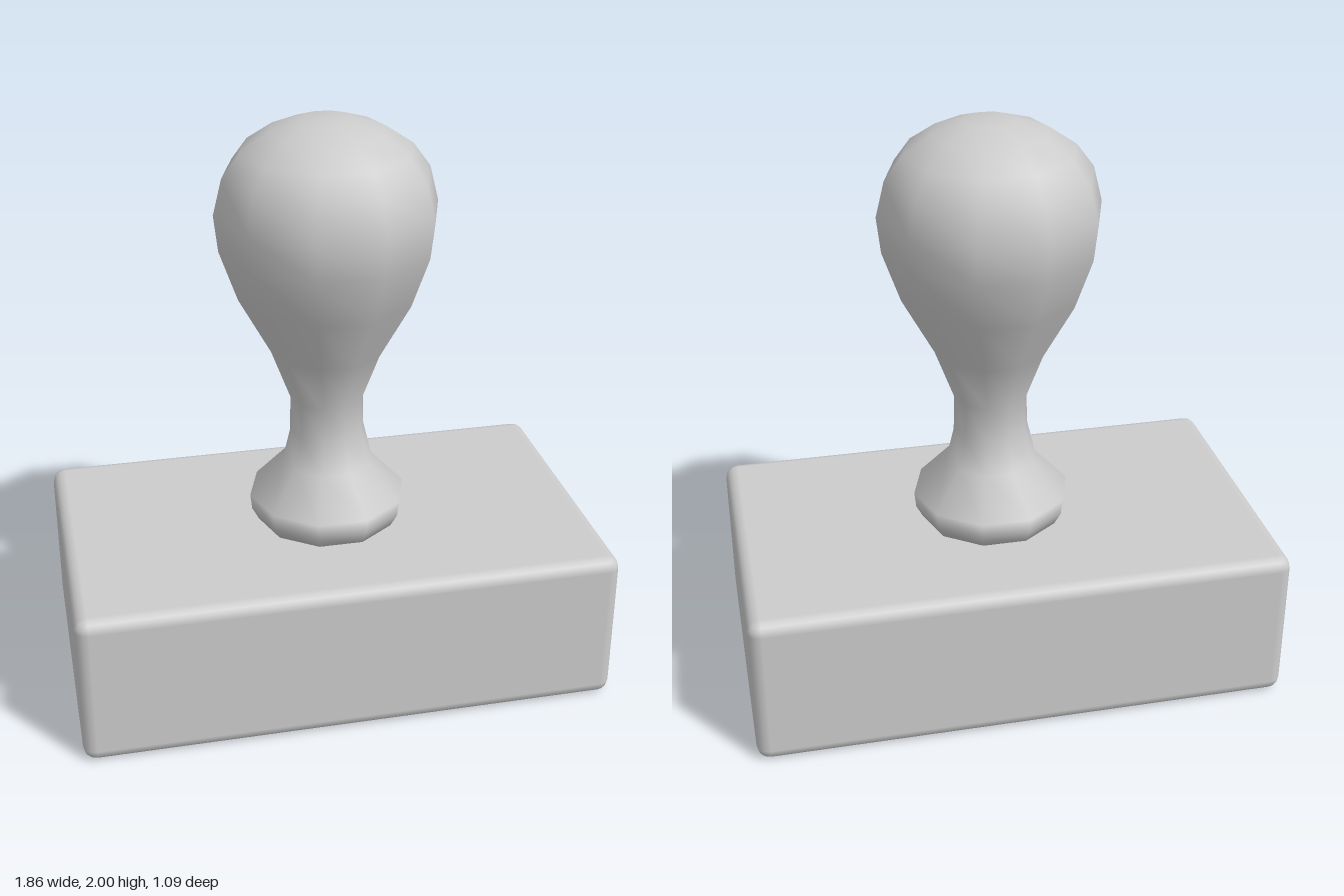
import * as THREE from 'three';
import { RoundedBoxGeometry } from 'three/addons/geometries/RoundedBoxGeometry.js';

export function createModel() {
  const group = new THREE.Group();
  const material = new THREE.MeshStandardMaterial({ color: 0xcccccc });

  // Rounded block that carries the stamping face
  const base = new THREE.Mesh(new RoundedBoxGeometry(1.856, 0.552, 1.09, 2, 0.045), material);
  base.name = 'base';
  base.position.y = 0.279;
  group.add(base);

  // Turned ten-sided handle: [radius, height] from foot to crown
  const profile = [
    [0, 0.55], [0.243, 0.55], [0.27, 0.6], [0.276, 0.655], [0.16, 0.78],
    [0.131, 0.9], [0.128, 1.025], [0.193, 1.2], [0.302, 1.4], [0.363, 1.575],
    [0.377, 1.7], [0.347, 1.82], [0.288, 1.9], [0.195, 1.963], [0.088, 2], [0, 2],
  ].map(([r, y]) => new THREE.Vector2(r, y));
  const handle = new THREE.Mesh(new THREE.LatheGeometry(profile, 10, Math.PI / 2), material);
  handle.name = 'handle';
  handle.position.set(0.014, 0, 0.005);
  group.add(handle);

  return group;
}
